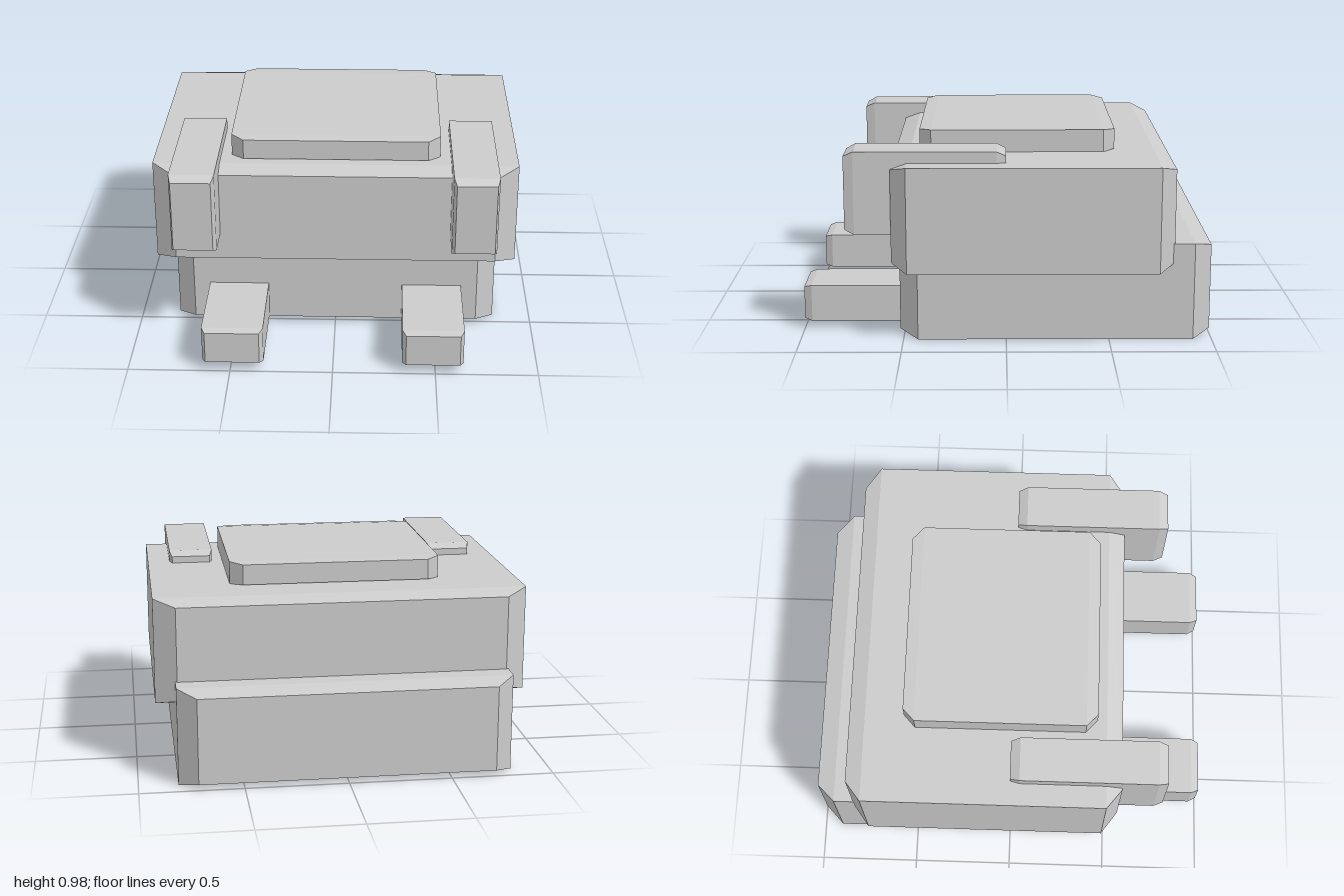
import * as THREE from 'three';

const material = new THREE.MeshStandardMaterial({ color: 0xcccccc, flatShading: true });

// Box spanning the x, y and z ranges, whose front and back ends taper
// by (ix, iy) over the last `depth` of its length.
function taperedBlock(name, [x0, x1], [y0, y1], [z0, z1], ix, iy, depth) {
  const box = new THREE.BoxGeometry(2, 2, 3, 1, 1, 3);
  const pos = box.attributes.position;
  const rings = [z0, z0 + depth, z1 - depth, z1];
  for (let i = 0; i < pos.count; i++) {
    const ring = Math.round(pos.getZ(i) + 1.5);
    const end = ring === 0 || ring === 3 ? 1 : 0;
    const x = pos.getX(i) < 0 ? x0 + ix * end : x1 - ix * end;
    const y = pos.getY(i) < 0 ? y0 + iy * end : y1 - iy * end;
    pos.setXYZ(i, x, y, rings[ring]);
  }
  const geometry = box.toNonIndexed();
  geometry.computeVertexNormals();
  const mesh = new THREE.Mesh(geometry, material);
  mesh.name = name;
  return mesh;
}

export function createModel() {
  const model = new THREE.Group();
  model.name = 'blockAssembly';

  // Stacked body
  model.add(
    taperedBlock('base', [-0.81, 0.81], [0, 0.48], [-1, 0.52], 0.092, 0.028, 0.09),
    taperedBlock('upperBody', [-0.905, 0.905], [0.355, 0.872], [-0.813, 0.555], 0.105, 0.029, 0.08),
    taperedBlock('topPlate', [-0.52, 0.52], [0.87, 0.982], [-0.538, 0.427], 0.062, 0.006, 0.058),
  );

  // Mirrored arms and feet
  for (const [side, s] of [['left', 1], ['right', -1]]) {
    const span = (a, b) => (s > 0 ? [a, b] : [-b, -a]);
    model.add(
      taperedBlock(side + 'Arm', span(0.573, 0.793), [0.522, 0.928], [0, 0.778], 0.013, 0.023, 0.047),
      taperedBlock(side + 'Foot', span(0.338, 0.637), [0.04, 0.222], [0.25, 1], 0.018, 0.01, 0.037),
    );
  }
  return model;
}
